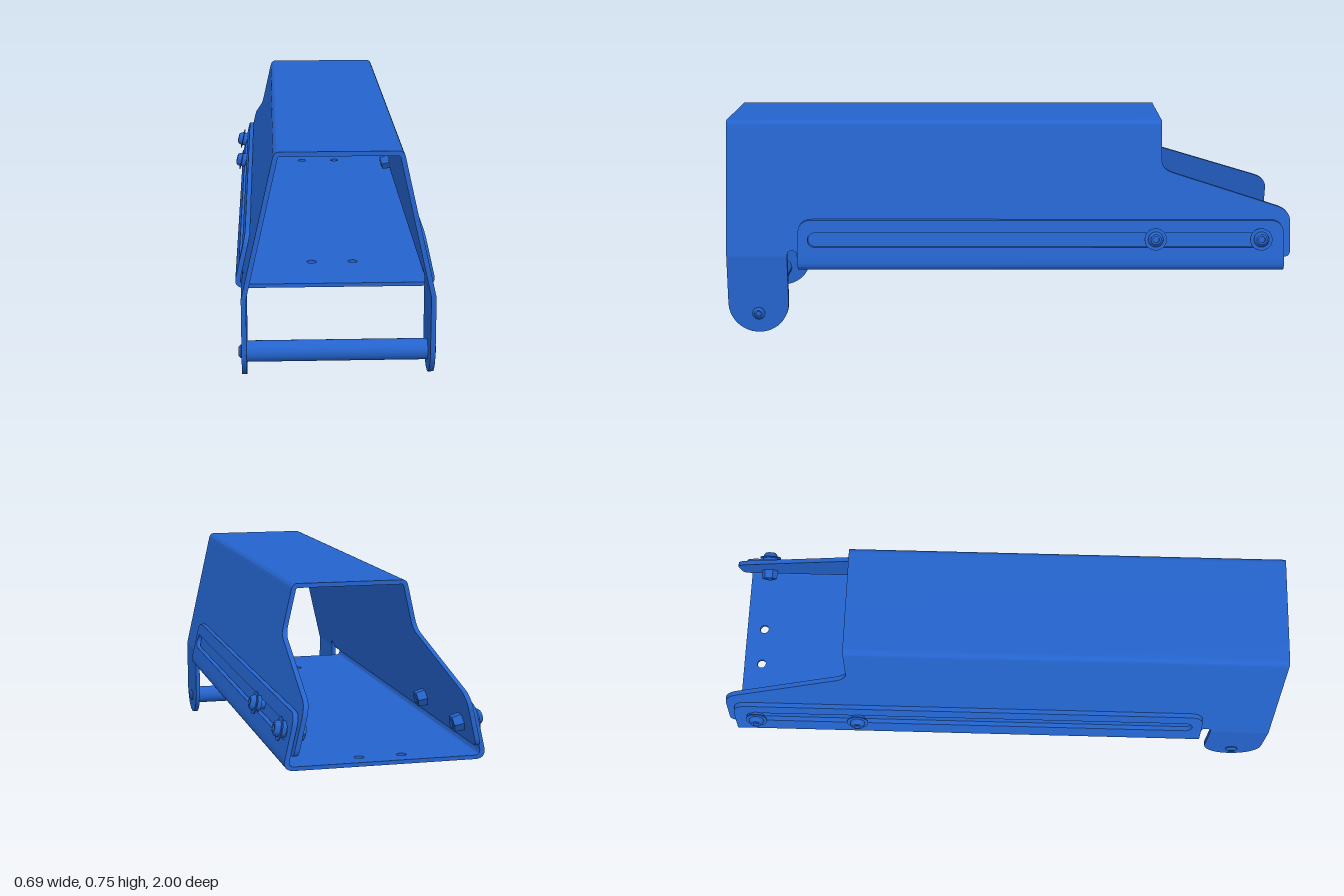
import * as THREE from 'three';
import { toCreasedNormals } from 'three/addons/utils/BufferGeometryUtils.js';

const T = 0.016;                 // sheet thickness measured along x
const LEAN = 0.226;              // inward lean of the side walls per unit height
const BEND_Y = 0.28;             // height at which the walls start to lean
const coverX = y => 0.304 - LEAN * Math.max(0, y - BEND_Y);
const trayX = y => 0.304 + T + 0.002 - LEAN * (y - BEND_Y);
const TRAY_BACK = -0.975, TRAY_FRONT = 0.745;

export function createModel() {
  const model = new THREE.Group();
  const material = new THREE.MeshStandardMaterial({ color: 0x2463cc });

  const add = (name, geometry, parent = model) => {
    const mesh = new THREE.Mesh(geometry, material);
    mesh.name = name;
    parent.add(mesh);
    return mesh;
  };
  const extrude = (shape, depth) =>
    new THREE.ExtrudeGeometry(shape, { depth, bevelEnabled: false, curveSegments: 12 });

  // Side sheet drawn in (z, y), then shifted in x so that its outer face follows outerX(y)
  const sideSheet = (shape, side, outerX) => {
    const g = extrude(shape, T).rotateY(-Math.PI / 2);
    if (side < 0) g.translate(T, 0, 0);
    const p = g.attributes.position;
    for (let i = 0; i < p.count; i++) p.setX(i, p.getX(i) + side * outerX(p.getY(i)));
    return toCreasedNormals(g, 0.5);
  };
  // Constant section drawn in (x, y), running from z0 to z1
  const sectionAlongZ = (shape, z0, z1) =>
    toCreasedNormals(extrude(shape, z1 - z0).translate(0, 0, z0), 0.5);

  // Cover wall outline, with the stepped tail and the relief notch behind the leg
  const wall = new THREE.Shape();
  wall.moveTo(1, BEND_Y);
  wall.lineTo(1, 0.73);
  wall.lineTo(-0.545, 0.73);
  wall.lineTo(-0.545, 0.615);
  wall.quadraticCurveTo(-0.545, 0.582, -0.585, 0.57);
  wall.lineTo(-0.955, 0.455);
  wall.quadraticCurveTo(-1, 0.44, -1, 0.4);
  wall.lineTo(-1, 0.305);
  wall.quadraticCurveTo(-1, BEND_Y, -0.975, BEND_Y);
  wall.lineTo(0.75, BEND_Y);
  wall.quadraticCurveTo(0.75, 0.3, 0.7675, 0.3);
  wall.quadraticCurveTo(0.785, 0.3, 0.785, BEND_Y);
  wall.closePath();

  // Upright front leg with a round foot
  const leg = new THREE.Shape();
  leg.moveTo(1, BEND_Y);
  leg.lineTo(1, 0.1075);
  leg.absarc(0.8925, 0.1075, 0.1075, 0, -Math.PI, true);
  leg.lineTo(0.785, BEND_Y);
  leg.closePath();

  // Tray wall with rounded upper corners and a long slot
  const trayWall = new THREE.Shape();
  trayWall.moveTo(TRAY_FRONT, BEND_Y);
  trayWall.lineTo(TRAY_FRONT, 0.36);
  trayWall.quadraticCurveTo(TRAY_FRONT, 0.41, TRAY_FRONT - 0.05, 0.41);
  trayWall.lineTo(TRAY_BACK + 0.05, 0.41);
  trayWall.quadraticCurveTo(TRAY_BACK, 0.41, TRAY_BACK, 0.36);
  trayWall.lineTo(TRAY_BACK, BEND_Y);
  trayWall.closePath();
  const slot = new THREE.Path();
  slot.absarc(0.685, 0.341, 0.025, -Math.PI / 2, Math.PI / 2, false);
  slot.absarc(-0.905, 0.341, 0.025, Math.PI / 2, Math.PI * 1.5, false);
  slot.closePath();
  trayWall.holes.push(slot);

  // Folded top of the cover
  const cap = new THREE.Shape();
  const edge = coverX(0.73);
  cap.moveTo(-edge, 0.73);
  cap.quadraticCurveTo(-coverX(0.75), 0.75, -0.182, 0.75);
  cap.lineTo(0.182, 0.75);
  cap.quadraticCurveTo(coverX(0.75), 0.75, edge, 0.73);
  cap.lineTo(edge - T, 0.73);
  cap.lineTo(0.182, 0.735);
  cap.lineTo(-0.182, 0.735);
  cap.lineTo(-edge + T, 0.73);
  cap.closePath();
  add('coverTop', sectionAlongZ(cap, -0.545, 1));

  // Tray floor with two pairs of round holes
  const floor = new THREE.Shape();
  floor.moveTo(-0.297, TRAY_BACK);
  floor.lineTo(0.297, TRAY_BACK);
  floor.lineTo(0.297, TRAY_FRONT);
  floor.lineTo(-0.297, TRAY_FRONT);
  floor.closePath();
  for (const x of [-0.07, 0.07]) for (const z of [-0.91, 0.515])
    floor.holes.push(new THREE.Path().absarc(x, z, 0.016, 0, Math.PI * 2, true));
  add('trayFloor', toCreasedNormals(
    extrude(floor, 0.013).rotateX(Math.PI / 2).translate(0, 0.245, 0), 0.5));

  // Bolt parts, built along local y with the tray face at y = 0
  const v = (x, y) => new THREE.Vector2(x, y);
  const headGeometry = toCreasedNormals(new THREE.LatheGeometry([
    v(0.027, -0.002), v(0.027, 0.02), v(0.024, 0.029), v(0.018, 0.035),
    v(0.011, 0.036), v(0.011, 0.026), v(0, 0.026)], 24), 0.6);
  const washerGeometry = new THREE.CylinderGeometry(0.039, 0.039, 0.004, 28).translate(0, 0.016, 0);
  const nutGeometry = toCreasedNormals(
    new THREE.CylinderGeometry(0.031, 0.028, 0.032, 6).translate(0, -0.049, 0), 0.5);
  const shankGeometry = new THREE.CylinderGeometry(0.016, 0.016, 0.068, 16).translate(0, -0.034, 0);

  for (const side of [1, -1]) {
    const prefix = side > 0 ? 'left' : 'right';
    add(prefix + 'CoverWall', sideSheet(wall, side, coverX));
    add(prefix + 'FrontLeg', sideSheet(leg, side, () => 0.304));
    add(prefix + 'TrayWall', sideSheet(trayWall, side, trayX));

    // Rounded fold joining the tray floor to its wall
    const fold = new THREE.Shape();
    fold.moveTo(side * 0.297, 0.232);
    fold.quadraticCurveTo(side * 0.33, 0.234, side * trayX(0.265), 0.265);
    fold.lineTo(side * trayX(BEND_Y), BEND_Y);
    fold.lineTo(side * (trayX(BEND_Y) - T), BEND_Y);
    fold.lineTo(side * (trayX(0.265) - T), 0.265);
    fold.quadraticCurveTo(side * 0.311, 0.246, side * 0.297, 0.245);
    fold.closePath();
    add(prefix + 'TrayFold', sectionAlongZ(fold, TRAY_BACK, TRAY_FRONT));

    // Two bolts clamp each wall through the slot
    for (const z of [-0.52, -0.892]) {
      const bolt = new THREE.Group();
      bolt.name = prefix + 'Bolt';
      bolt.position.set(side * trayX(0.345), 0.345, z);
      bolt.rotation.z = -side * (Math.PI / 2 - Math.atan(LEAN));
      add('boltHead', headGeometry, bolt);
      add('washer', washerGeometry, bolt);
      add('nut', nutGeometry, bolt);
      add('shank', shankGeometry, bolt);
      model.add(bolt);
    }

    // Chamfered rod end outside the leg
    const end = add(prefix + 'RodEnd', toCreasedNormals(new THREE.LatheGeometry([
      v(0.022, 0), v(0.022, 0.004), v(0.014, 0.012), v(0.009, 0.012), v(0.009, 0.007), v(0, 0.007)], 24), 0.5));
    end.position.set(side * 0.304, 0.07, 0.8925);
    end.rotation.z = -side * Math.PI / 2;
  }

  // Cross rod between the legs
  const rod = add('crossRod', new THREE.CylinderGeometry(0.034, 0.034, 0.577, 32));
  rod.position.set(0, 0.07, 0.8925);
  rod.rotation.z = Math.PI / 2;

  return model;
}
